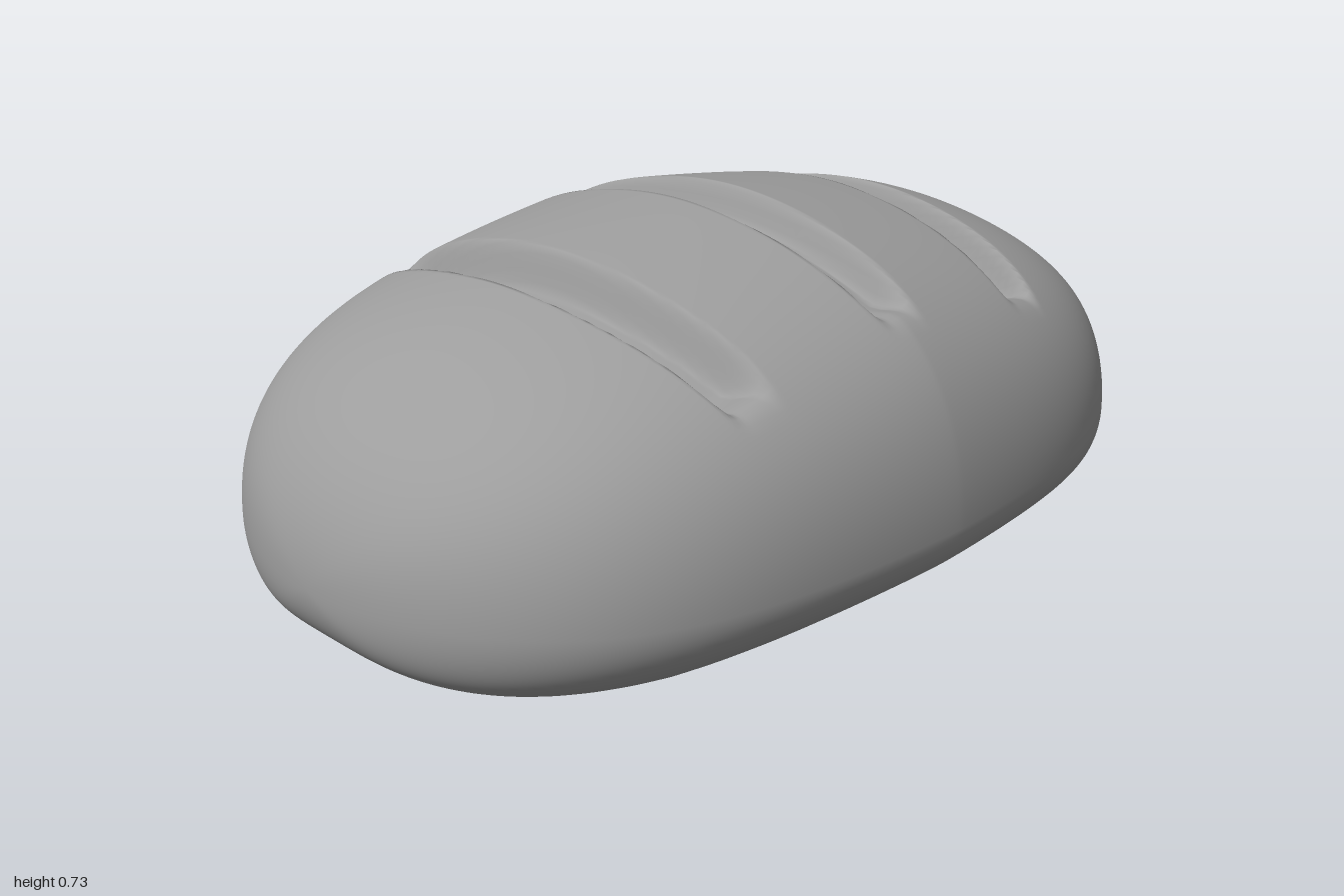
import * as THREE from 'three';

const WAIST = 0.2;   // height of the widest line
const smooth = THREE.MathUtils.smoothstep;
const round = (t, power) => Math.sqrt(Math.max(0, 1 - t ** power));

// Lengthwise profiles, az = distance from the middle (0..1)
const halfWidth = (az) => (0.685 - 0.13 * az ** 1.5) * round(az, 4.6);
const domeRise = (az) => (0.54 - 0.15 * az ** 1.1) * round(az, 4.5);
const baseDrop = (az) => 0.203 * round(az, 8.5) - 0.02 * Math.max(0, 1 - (az / 0.6) ** 2);

// Depth of the three scored grooves; the outer two bow towards the ends
function grooveDepth(x, z) {
  const ax = Math.abs(x);
  const fade = 1 - smooth(ax, 0.41, 0.54);
  const reach = 0.074 - 0.06 * ax * ax;
  let depth = 0;
  for (const side of [-1, 0, 1]) {
    const d = Math.abs(z - side * (0.453 - 0.19 * ax * ax));
    depth += (0.07 + 0.013 * Math.abs(side)) * fade * (1 - smooth(d, reach - 0.03, reach));
  }
  return depth;
}

// Height at fraction q of the half width: arched crown with soft shoulders, flat base
function height(q, x, z, isTop) {
  const az = Math.abs(z);
  if (isTop) return WAIST + domeRise(az) * round(q, 2 + q * q) - grooveDepth(x, z);
  return WAIST - baseDrop(az) * round(q, 4);
}

// Closed rings across the loaf, joined from back to front
function loafGeometry(rows = 420, ring = 140) {
  const positions = [], index = [];
  for (let i = 1; i < rows; i++) {
    const z = -Math.cos((Math.PI * i) / rows);
    const w = halfWidth(Math.abs(z));
    for (let j = 0; j < ring; j++) {
      const a = (2 * Math.PI * j) / ring;
      const x = w * Math.sin(a);
      positions.push(x, height(Math.abs(Math.sin(a)), x, z, Math.cos(a) > 0), z);
    }
  }
  for (let i = 0; i < rows - 2; i++) {
    for (let j = 0; j < ring; j++) {
      const k = (j + 1) % ring;
      const a = i * ring + j, c = i * ring + k;
      index.push(a, a + ring, c, c, a + ring, c + ring);
    }
  }
  // End points
  const back = (rows - 1) * ring, front = back + 1, last = (rows - 2) * ring;
  positions.push(0, WAIST, -1, 0, WAIST, 1);
  for (let j = 0; j < ring; j++) {
    const k = (j + 1) % ring;
    index.push(back, j, k, front, last + k, last + j);
  }
  const geometry = new THREE.BufferGeometry();
  geometry.setAttribute('position', new THREE.Float32BufferAttribute(positions, 3));
  geometry.setIndex(index);
  geometry.computeVertexNormals();
  return geometry;
}

export function createModel() {
  const group = new THREE.Group();
  group.name = 'breadLoaf';
  const loaf = new THREE.Mesh(loafGeometry(), new THREE.MeshStandardMaterial({ color: 0x9d9d9d }));
  loaf.name = 'scoredLoaf';
  group.add(loaf);
  return group;
}
